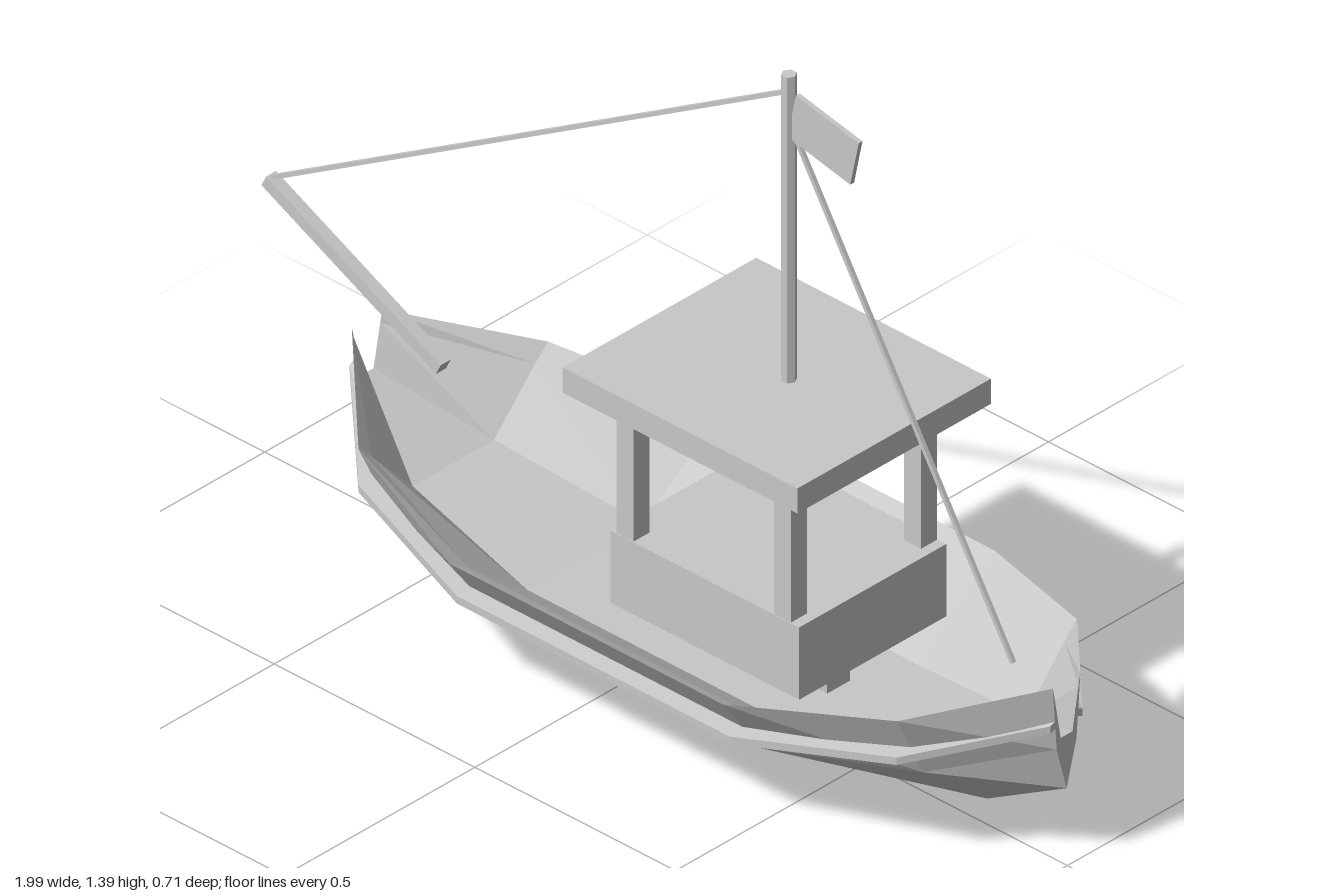
import * as THREE from 'three';

const grey = new THREE.MeshStandardMaterial({ color: 0xc8c8c8, flatShading: true });
grey.name = 'plain grey';

// Hull stations: x, keel y, chine y, gunwale y, gunwale half-width, floor y, rail y
const stations = [
  [-0.745, 0.165, 0.26, 0.40, 0.04, 0.285, 0.318],
  [-0.53, 0.055, 0.19, 0.33, 0.248, 0.185, 0.249],
  [-0.2, 0, 0.14, 0.28, 0.355, 0.13, 0.199],
  [0.48, 0, 0.14, 0.28, 0.355, 0.13, 0.199],
  [0.8, 0.055, 0.19, 0.33, 0.235, 0.185, 0.249],
  [0.998, 0.165, 0.26, 0.395, 0.036, 0.28, 0.313],
];

// Skin closed (z, y) cross-sections, listed counter-clockwise, along x and cap both ends
function loft(xs, rings) {
  const pos = [];
  const put = (i, j) => pos.push(xs[i], rings[i][j][1], rings[i][j][0]);
  const n = rings[0].length;
  for (let i = 0; i < xs.length - 1; i++) {
    for (let j = 0; j < n; j++) {
      const k = (j + 1) % n;
      // Diagonals mirror from side to side and from end to end
      const leftSide = rings[i][j][0] + rings[i][k][0] > 0;
      if (leftSide === i < xs.length / 2 - 1) {
        put(i, j); put(i + 1, j); put(i + 1, k);
        put(i, j); put(i + 1, k); put(i, k);
      } else {
        put(i, j); put(i + 1, j); put(i, k);
        put(i + 1, j); put(i + 1, k); put(i, k);
      }
    }
  }
  for (const end of [0, xs.length - 1]) {
    const contour = rings[end].map(([z, y]) => new THREE.Vector2(z, y));
    for (const [a, b, c] of THREE.ShapeUtils.triangulateShape(contour, [])) {
      for (const v of end === 0 ? [a, b, c] : [c, b, a]) put(end, v);
    }
  }
  const geometry = new THREE.BufferGeometry();
  geometry.setAttribute('position', new THREE.Float32BufferAttribute(pos, 3));
  geometry.computeVertexNormals();
  return geometry;
}

export function createModel() {
  const model = new THREE.Group();
  model.name = 'boat';

  const add = (name, geometry, x = 0, y = 0, z = 0) => {
    const mesh = new THREE.Mesh(geometry, grey);
    mesh.name = name;
    mesh.position.set(x, y, z);
    model.add(mesh);
    return mesh;
  };
  const box = (name, w, h, d, x, y, z) => add(name, new THREE.BoxGeometry(w, h, d), x, y, z);

  // Many-sided bar between two points in the centre plane
  const bar = (name, x1, y1, x2, y2, radius, sides) => {
    const length = Math.hypot(x2 - x1, y2 - y1);
    const geometry = new THREE.CylinderGeometry(radius, radius, length, sides);
    geometry.rotateY(Math.PI / sides);
    const mesh = add(name, geometry, (x1 + x2) / 2, (y1 + y2) / 2, 0);
    mesh.rotation.z = Math.atan2(y2 - y1, x2 - x1) - Math.PI / 2;
  };

  // Hull with chines outside and a sunken deck inside
  const xs = stations.map((s) => s[0]);
  add('hull', loft(xs, stations.map(([, keel, chine, gunwale, w, floor]) => {
    const side = [
      [w * 0.72, chine],
      [w, gunwale],
      [w * 0.86, gunwale - (gunwale - floor) * 0.22],
      [w * 0.43, floor],
    ];
    const mirrored = side.map(([z, y]) => [-z, y]).reverse();
    return [[0, keel], ...side, ...mirrored];
  })));

  // Rub rails along both sides
  for (const s of [1, -1]) {
    const rings = stations.map(([, , chine, gunwale, w, , y]) => {
      const skin = w * (0.72 + 0.28 * (y - chine) / (gunwale - chine));
      const a = skin - 0.008;
      const b = skin + (w < 0.1 ? 0.012 : 0.04);
      const ring = [[a, y - 0.004], [b, y - 0.012], [b, y + 0.004], [a, y + 0.012]];
      return s > 0 ? ring : ring.map(([z, h]) => [-z, h]).reverse();
    });
    add(s > 0 ? 'frontRail' : 'backRail', loft(xs, rings));
  }

  // Wheelhouse: slim support, low walls, corner posts and flat roof
  box('cabinSupport', 0.3, 0.11, 0.06, 0.28, 0.18, 0);
  box('cabinBase', 0.47, 0.155, 0.385, 0.28, 0.3075, 0);
  for (const x of [0.08, 0.472]) {
    for (const z of [-0.17, 0.17]) box('cabinPost', 0.042, 0.31, 0.042, x, 0.535, z);
  }
  box('cabinRoof', 0.585, 0.054, 0.506, 0.276, 0.708, 0);

  // Mast, flag, bowsprit and stays
  bar('mast', 0.306, 0.73, 0.306, 1.39, 0.015, 6);
  const flag = box('flag', 0.16, 0.1, 0.01, 0.396, 1.29, 0);
  flag.rotation.z = -0.21;
  bar('bowsprit', -0.99, 0.592, -0.555, 0.38, 0.0185, 4);
  bar('foreStay', -0.983, 0.597, 0.3, 1.35, 0.006, 4);
  bar('backStay', 0.316, 1.275, 0.865, 0.375, 0.006, 4);

  return model;
}
